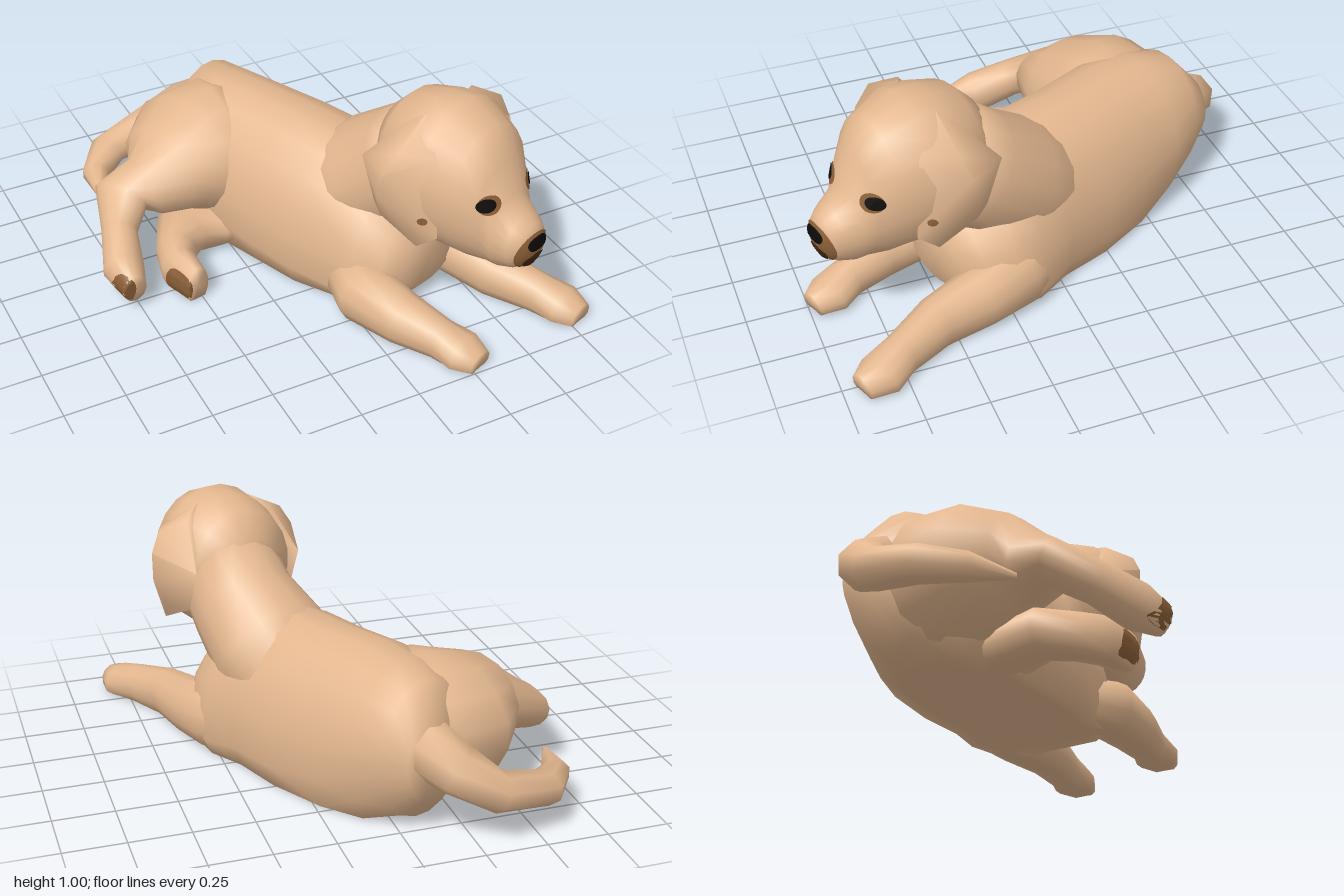
import * as THREE from 'three';
import { toCreasedNormals } from 'three/addons/utils/BufferGeometryUtils.js';
import { ConvexGeometry } from 'three/addons/geometries/ConvexGeometry.js';

const V = (x, y, z) => new THREE.Vector3(x, y, z);
const UP = V(0, 1, 0);
const FRONT = V(0, 0, 1);

function smoothGeometry(pos, index) {
  const g = new THREE.BufferGeometry();
  g.setAttribute('position', new THREE.Float32BufferAttribute(pos, 3));
  g.setIndex(index);
  g.computeVertexNormals();
  return g;
}

// Closed skin over oval sections [x, y, z, halfWidth, halfHeight]; the underside is flattened on the ground.
function loft(sections, sides = 12, dir = null) {
  const pos = [], index = [], last = sections.length - 1;
  const centre = (s) => V(s[0], s[1], s[2]);
  sections.forEach((s, j) => {
    const t = dir ? dir.clone()
      : centre(sections[Math.min(j + 1, last)]).sub(centre(sections[Math.max(j - 1, 0)]));
    t.normalize();
    const right = UP.clone().cross(t).normalize();
    const up = t.clone().cross(right);
    for (let i = 0; i < sides; i++) {
      const a = (i + 0.5) / sides * Math.PI * 2;
      const p = centre(s).addScaledVector(right, Math.cos(a) * s[3])
        .addScaledVector(up, Math.sin(a) * s[4]);
      pos.push(p.x, Math.max(0, p.y), p.z);
    }
  });
  for (let j = 0; j < last; j++) {
    for (let i = 0; i < sides; i++) {
      const k = (i + 1) % sides, a = j * sides, b = a + sides;
      index.push(a + i, a + k, b + k, a + i, b + k, b + i);
    }
  }
  // end caps
  [[0, true], [last, false]].forEach(([j, flip]) => {
    const c = pos.length / 3, s = sections[j];
    pos.push(s[0], s[1], s[2]);
    for (let i = 0; i < sides; i++) {
      const p = j * sides + i, q = j * sides + (i + 1) % sides;
      index.push(c, flip ? q : p, flip ? p : q);
    }
  });
  return smoothGeometry(pos, index);
}

// Thin oval patch laid onto the surface of a mesh, seen from direction dir.
function patch(mesh, target, dir, rx, ry, lift) {
  const rings = 5, seg = 18, pos = [], index = [];
  dir = dir.clone().normalize();
  const u = UP.clone().cross(dir).normalize(), v = dir.clone().cross(u);
  const ray = new THREE.Raycaster();
  const land = (a, r) => {
    for (let k = 1; k > 0; k -= 0.1) {
      const p = target.clone().addScaledVector(u, Math.cos(a) * rx * r * k)
        .addScaledVector(v, Math.sin(a) * ry * r * k);
      ray.set(p.addScaledVector(dir, 1), dir.clone().negate());
      const hit = ray.intersectObject(mesh, false)[0];
      if (hit) return hit.point.addScaledVector(dir, lift);
    }
    return target.clone();
  };
  for (let r = 0; r <= rings; r++) {
    for (let i = 0; i < seg; i++) pos.push(...land(i / seg * Math.PI * 2, r / rings).toArray());
  }
  for (let r = 0; r < rings; r++) {
    for (let i = 0; i < seg; i++) {
      const k = (i + 1) % seg, a = r * seg, b = a + seg;
      index.push(a + i, b + i, b + k);
      if (r) index.push(a + i, b + k, a + k);
    }
  }
  return smoothGeometry(pos, index);
}

export function createModel() {
  const paint = (name, color) => {
    const m = new THREE.MeshStandardMaterial({ color });
    m.name = name;
    return m;
  };
  const fur = paint('tan fur', 0xe3b78f);
  const brown = paint('brown markings', 0x8c6038);
  const darkBrown = paint('dark brown mouth', 0x43260f);
  const black = paint('black', 0x0e0b09);

  const model = new THREE.Group();
  model.name = 'lyingPuppy';
  const add = (name, geometry, material = fur, parent = model) => {
    const m = new THREE.Mesh(geometry, material);
    m.name = name;
    parent.add(m);
    return m;
  };

  // torso from rump to chest, resting on the ground
  add('body', loft([
    [-0.09, 0.32, -0.81, 0.11, 0.15], [-0.11, 0.315, -0.69, 0.22, 0.285],
    [-0.09, 0.26, -0.54, 0.29, 0.36], [-0.03, 0.20, -0.37, 0.31, 0.435],
    [0.08, 0.17, -0.14, 0.33, 0.457], [0.16, 0.16, 0.07, 0.33, 0.465],
    [0.25, 0.14, 0.21, 0.33, 0.45], [0.29, 0.13, 0.33, 0.31, 0.38],
    [0.32, 0.15, 0.43, 0.25, 0.25], [0.34, 0.20, 0.49, 0.16, 0.13],
  ], 20, V(0.36, 0, 1)));
  add('neck', loft([
    [0.13, 0.28, -0.06, 0.24, 0.22], [0.25, 0.44, 0.17, 0.265, 0.245],
    [0.32, 0.57, 0.33, 0.22, 0.24], [0.35, 0.68, 0.48, 0.21, 0.24],
  ], 16));

  // legs and tail
  add('rightFrontLeg', loft([
    [0.10, 0.10, 0.24, 0.13, 0.12], [0.05, 0.10, 0.49, 0.13, 0.13],
    [0.12, 0.08, 0.67, 0.105, 0.11], [0.20, 0.06, 0.82, 0.08, 0.085],
    [0.25, 0.04, 0.91, 0.10, 0.075], [0.28, 0.03, 0.985, 0.06, 0.055],
  ]));
  add('leftFrontLeg', loft([
    [0.38, 0.16, 0.04, 0.11, 0.14], [0.49, 0.13, 0.20, 0.12, 0.15],
    [0.54, 0.10, 0.38, 0.12, 0.125], [0.60, 0.08, 0.58, 0.095, 0.11],
    [0.70, 0.06, 0.75, 0.08, 0.09], [0.76, 0.04, 0.85, 0.10, 0.08],
    [0.79, 0.03, 0.93, 0.06, 0.06],
  ]));
  const rightHind = add('rightHindLeg', loft([
    [-0.06, 0.32, -0.46, 0.28, 0.28], [-0.20, 0.32, -0.47, 0.32, 0.295],
    [-0.33, 0.33, -0.45, 0.305, 0.26], [-0.45, 0.335, -0.37, 0.235, 0.19],
    [-0.56, 0.30, -0.345, 0.155, 0.12], [-0.66, 0.265, -0.37, 0.125, 0.085],
    [-0.73, 0.20, -0.22, 0.075, 0.085], [-0.775, 0.13, -0.07, 0.085, 0.095],
    [-0.775, 0.11, 0.05, 0.05, 0.07],
  ], 14));
  const leftHind = add('leftHindLeg', loft([
    [-0.06, 0.08, -0.30, 0.16, 0.10], [-0.30, 0.07, -0.28, 0.14, 0.09],
    [-0.44, 0.09, -0.25, 0.13, 0.10], [-0.515, 0.08, -0.14, 0.085, 0.10],
    [-0.545, 0.08, -0.03, 0.08, 0.105], [-0.52, 0.07, 0.10, 0.05, 0.095],
  ]));
  add('tail', loft([
    [-0.07, 0.38, -0.73, 0.12, 0.12], [-0.18, 0.30, -0.86, 0.11, 0.10],
    [-0.33, 0.21, -0.915, 0.09, 0.08], [-0.54, 0.165, -0.86, 0.085, 0.07],
    [-0.645, 0.15, -0.73, 0.06, 0.055], [-0.685, 0.15, -0.55, 0.012, 0.012],
  ], 8));

  // brown pads on the hind paws
  add('rightHindPad', patch(rightHind, V(-0.808, 0.115, 0), FRONT, 0.036, 0.065, 0.006), brown);
  add('leftHindPad', patch(leftHind, V(-0.583, 0.068, 0), FRONT, 0.034, 0.066, 0.006), brown);

  // head, turned a little to its left
  const head = new THREE.Group();
  head.name = 'head';
  const skull = add('skull', loft([
    [0, 0.72, -0.25, 0.12, 0.14], [0, 0.70, -0.16, 0.23, 0.255],
    [0, 0.695, -0.04, 0.275, 0.295], [0, 0.695, 0.07, 0.27, 0.31],
    [0, 0.665, 0.21, 0.217, 0.285], [0, 0.61, 0.285, 0.155, 0.225],
    [0, 0.545, 0.33, 0.128, 0.16], [0, 0.53, 0.40, 0.108, 0.117],
    [0, 0.53, 0.435, 0.082, 0.09], [0, 0.535, 0.456, 0.045, 0.05],
  ], 20, FRONT), fur, head);

  // drooping ears and eyes
  const earPoints = [
    [0.21, 0.86, 0.13], [0.22, 0.52, 0.16], [0.245, 0.455, 0.08], [0.30, 0.87, 0.01],
    [0.345, 0.79, -0.01], [0.355, 0.68, -0.03], [0.31, 0.57, -0.05], [0.20, 0.925, -0.06],
    [0.25, 0.74, -0.21], [0.25, 0.56, -0.14], [0.12, 0.965, -0.01], [0.20, 0.60, 0],
  ];
  for (const [side, s] of [['left', 1], ['right', -1]]) {
    const ear = add(side + 'Ear', toCreasedNormals(
      new ConvexGeometry(earPoints.map(([x, y, z]) => V(x * s, y, z))), 1.25), fur, head);
    add(side + 'EarSpot', patch(ear, V(0.245 * s, 0.595, 0.1), V(0.6 * s, 0, 0.7), 0.02, 0.016, 0.004), brown, head);
    const dir = V(0.5 * s, 0.1, 0.85), x = 0.126 * s + 0.018;
    add(side + 'EyePatch', patch(skull, V(x - 0.016 * s, 0.695, 0.28), dir, 0.05, 0.04, 0.004), brown, head);
    add(side + 'Eye', patch(skull, V(x, 0.697, 0.28), dir, 0.041, 0.028, 0.008), black, head);
  }

  // muzzle markings
  add('muzzlePatch', patch(skull, V(0, 0.512, 0.4), FRONT, 0.09, 0.085, 0.007), brown, head);
  add('mouth', patch(skull, V(0, 0.475, 0.4), FRONT, 0.058, 0.034, 0.011), darkBrown, head);
  add('nose', patch(skull, V(0, 0.555, 0.4), FRONT, 0.053, 0.034, 0.013), black, head);

  head.position.set(0.35, 0, 0.55);
  head.rotation.y = 0.3;
  model.add(head);
  return model;
}
